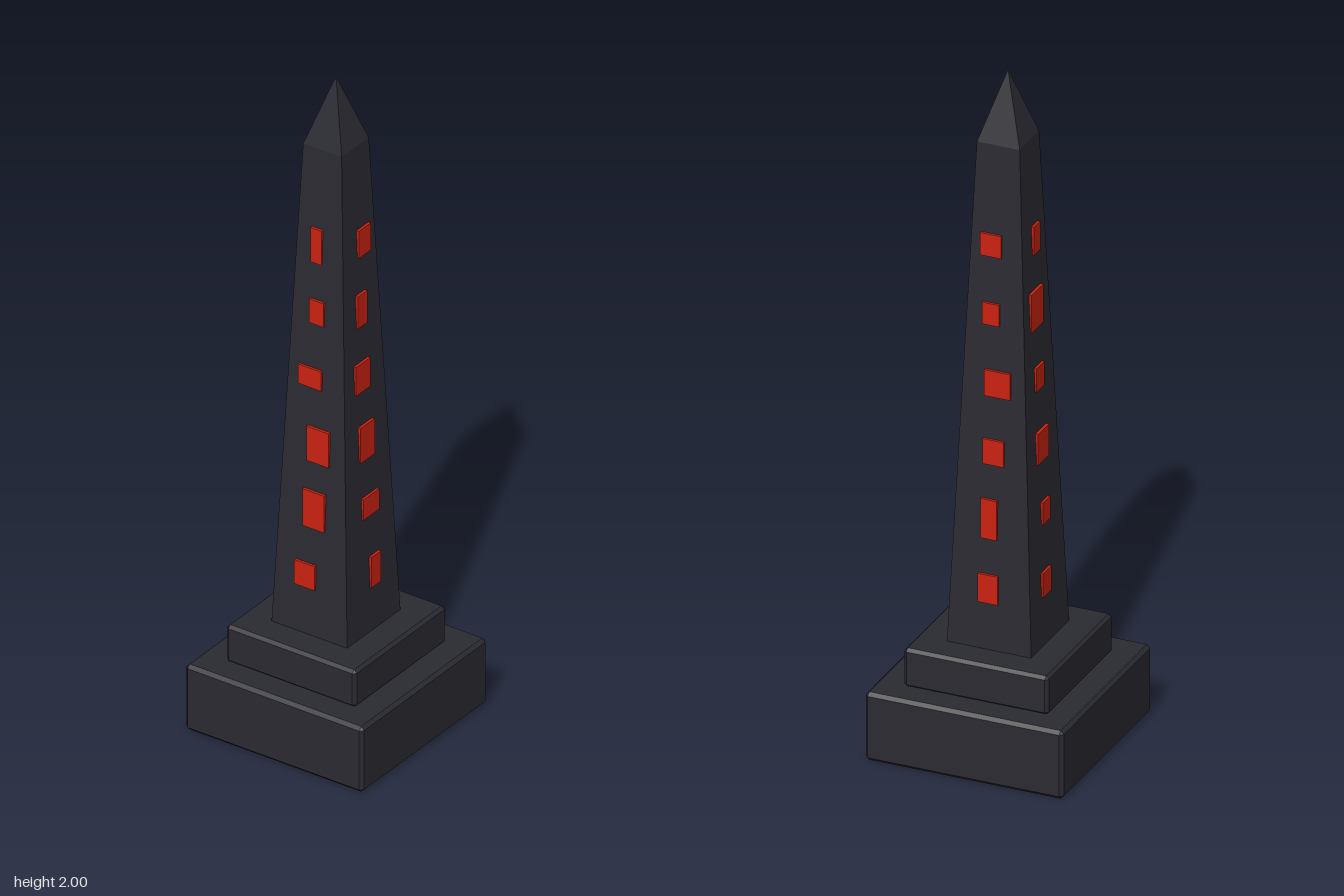
import * as THREE from 'three';
import { ConvexGeometry } from 'three/addons/geometries/ConvexGeometry.js';

const SHAFT = { bottom: 0.31, top: 1.8, halfBottom: 0.124, halfTop: 0.063 };

// Square block with 45-degree chamfers on every edge
function chamferedBlock(half, y0, y1, c) {
  const points = [];
  const mid = (y0 + y1) / 2, hy = (y1 - y0) / 2;
  for (const sx of [-1, 1]) for (const sy of [-1, 1]) for (const sz of [-1, 1]) {
    for (const [a, b, d] of [[0, c, c], [c, 0, c], [c, c, 0]]) {
      points.push(new THREE.Vector3(sx * (half - a), mid + sy * (hy - b), sz * (half - d)));
    }
  }
  return new ConvexGeometry(points);
}

// Square frustum (or pyramid) with sides facing the axes
function squareTaper(halfTop, halfBottom, y0, y1) {
  const g = new THREE.CylinderGeometry(halfTop * Math.SQRT2, halfBottom * Math.SQRT2, y1 - y0, 4, 1).toNonIndexed();
  g.rotateY(Math.PI / 4);
  g.translate(0, (y0 + y1) / 2, 0);
  g.computeVertexNormals();
  return g;
}

export function createModel() {
  const model = new THREE.Group();
  model.name = 'obelisk';
  const stone = new THREE.MeshStandardMaterial({ color: 0x2a2a32 });
  stone.name = 'dark stone';
  const red = new THREE.MeshStandardMaterial({ color: 0xcc2211 });
  red.name = 'glowing red';

  const add = (parent, name, geometry, material) => {
    const mesh = new THREE.Mesh(geometry, material);
    mesh.name = name;
    parent.add(mesh);
    return mesh;
  };

  // Stepped base, tapering shaft and pointed cap
  add(model, 'base', chamferedBlock(0.291, 0, 0.204, 0.01), stone);
  add(model, 'plinth', chamferedBlock(0.212, 0.2, 0.316, 0.009), stone);
  add(model, 'shaft', squareTaper(SHAFT.halfTop, SHAFT.halfBottom, SHAFT.bottom, SHAFT.top), stone);
  add(model, 'cap', squareTaper(0, SHAFT.halfTop, SHAFT.top, 2), stone);

  // Upright red plates, six per side from bottom to top: [sideways offset, width, height]
  const rows = [0.495, 0.7, 0.898, 1.1, 1.303, 1.505];
  const sides = [
    { name: 'frontPlates', turn: 0, plates: [[-0.017, 0.067, 0.075], [0.006, 0.072, 0.115], [0.014, 0.073, 0.107],
      [-0.018, 0.076, 0.06], [-0.002, 0.047, 0.074], [-0.009, 0.036, 0.107]] },
    { name: 'leftPlates', turn: 1, plates: [[0.013, 0.045, 0.095], [0.003, 0.073, 0.064], [-0.003, 0.066, 0.11],
      [-0.012, 0.066, 0.09], [-0.003, 0.045, 0.1], [0.019, 0.056, 0.085]] },
    { name: 'backPlates', turn: 2, plates: [[-0.005, 0.059, 0.085], [-0.006, 0.048, 0.118], [0.004, 0.061, 0.075],
      [0.012, 0.076, 0.078], [-0.011, 0.05, 0.065], [-0.015, 0.062, 0.067]] },
    { name: 'rightPlates', turn: 3, plates: [[-0.015, 0.054, 0.072], [-0.001, 0.047, 0.066], [-0.004, 0.07, 0.093],
      [-0.004, 0.052, 0.07], [-0.006, 0.075, 0.115], [0.01, 0.041, 0.085]] },
  ];
  for (const { name, turn, plates } of sides) {
    const group = new THREE.Group();
    group.name = name;
    group.rotation.y = turn * Math.PI / 2;
    plates.forEach(([x, w, h], i) => {
      const t = (rows[i] - SHAFT.bottom) / (SHAFT.top - SHAFT.bottom);
      const surface = THREE.MathUtils.lerp(SHAFT.halfBottom, SHAFT.halfTop, t);
      const plate = add(group, 'plate' + (i + 1), new THREE.BoxGeometry(w, h, 0.008), red);
      plate.position.set(x, rows[i], surface + 0.002);
    });
    model.add(group);
  }
  return model;
}
